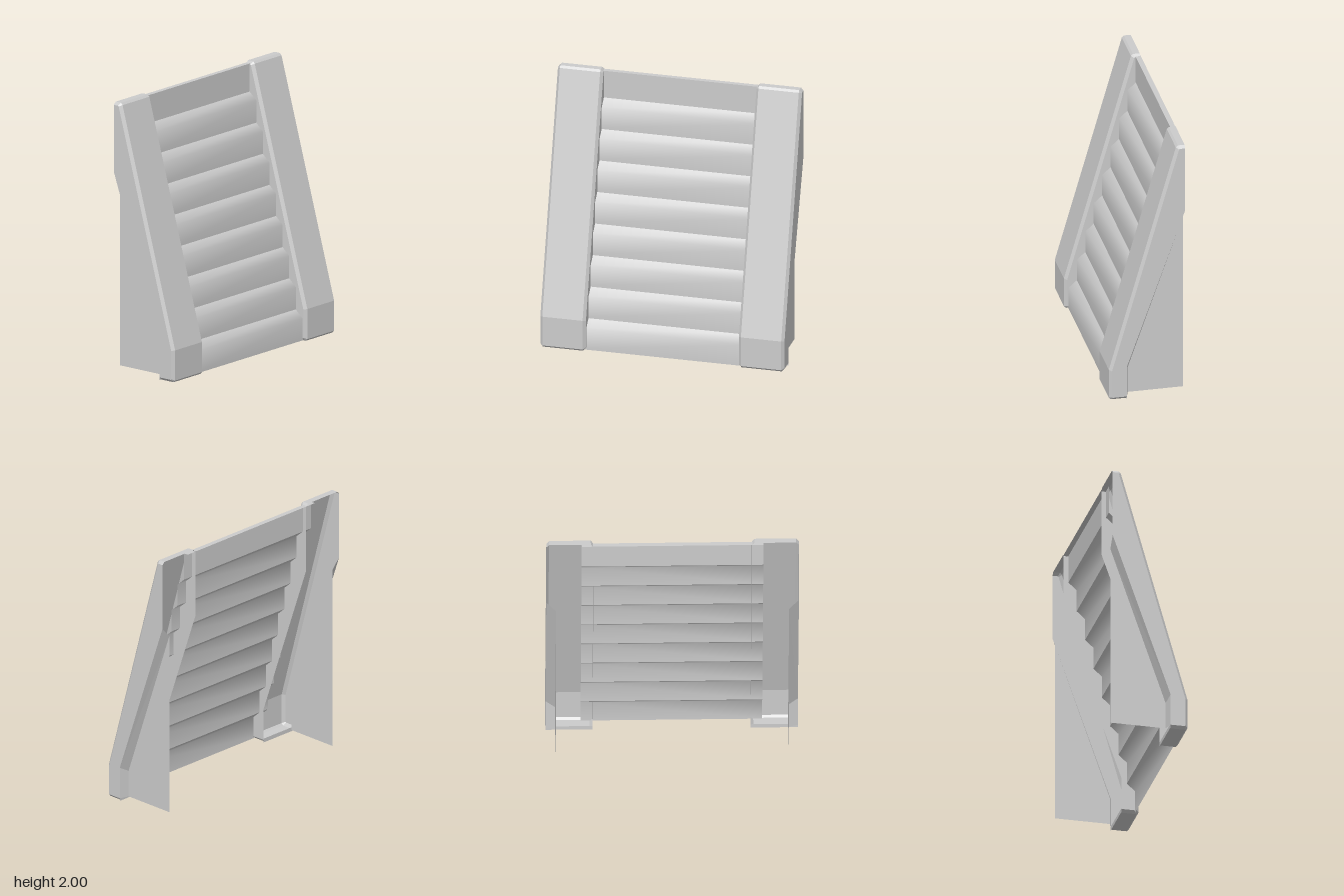
import * as THREE from 'three';
import { mergeGeometries } from 'three/addons/utils/BufferGeometryUtils.js';

const material = new THREE.MeshStandardMaterial({ color: 0xcccccc, side: THREE.DoubleSide });

// Surface through rows of [x, y, z] points, all rows the same length
function loft(rows, smooth = false) {
  const n = rows[0].length;
  const index = [];
  for (let r = 0; r < rows.length - 1; r++) {
    for (let c = 0; c < n - 1; c++) {
      const a = r * n + c, b = a + 1, d = a + n, e = d + 1;
      index.push(a, b, e, a, e, d);
    }
  }
  let geometry = new THREE.BufferGeometry();
  geometry.setAttribute('position', new THREE.Float32BufferAttribute(rows.flat(2), 3));
  geometry.setIndex(index);
  if (!smooth) geometry = geometry.toNonIndexed();
  geometry.computeVertexNormals();
  return geometry;
}

// Flat sheet at a given x from an outline of [z, y] points
function sheet(outline, x) {
  const shape = new THREE.Shape(outline.map(([z, y]) => new THREE.Vector2(z, y)));
  return new THREE.ShapeGeometry(shape).rotateY(-Math.PI / 2).translate(x, 0, 0);
}

function add(group, name, geometry) {
  const mesh = new THREE.Mesh(geometry, material);
  mesh.name = name;
  group.add(mesh);
}

const OUTER = 0.91, INNER = 0.57, PANEL = 0.84, BEVEL = 0.02, BACK = -0.28;

// Side channel: bevelled front skin, two flanges and an inset side panel
function createSide(name) {
  const side = new THREE.Group();
  side.name = name;

  // Front line of the channel and the same line set in by the bevel, as [z, y]
  const front = [[0.15, 0], [0.265, 0], [0.28, 0.015], [0.28, 0.24], [-0.215, 1.985], [-0.23, 2], [BACK, 2]];
  const inset = [[0.15, 0.02], [0.255, 0.02], [0.26, 0.025], [0.26, 0.235], [-0.235, 1.975], [-0.24, 1.98], [BACK, 1.98]];
  add(side, 'channelFace', loft(front.map(([z, y], i) => {
    const [iz, iy] = inset[i];
    return [[INNER, iy, iz], [INNER + BEVEL, y, z], [OUTER - BEVEL, y, z], [OUTER, iy, iz]];
  })));

  // Flanges reach the back near the top and narrow below
  const flange = [...inset, [BACK, 1.48], [0.15, 0.26]];
  add(side, 'outerFlange', sheet(flange, OUTER));
  add(side, 'innerFlange', sheet(flange, INNER));

  // Small lip behind the channel foot
  const lip = new THREE.PlaneGeometry(OUTER - INNER, 0.03);
  add(side, 'footLip', lip.translate((OUTER + INNER) / 2, 0.015, 0.15));

  // Panel stepped inward from the outer flange
  add(side, 'panelStep', loft([
    [[OUTER, 0.02, 0.15], [OUTER, 0.26, 0.15], [OUTER, 1.48, BACK]],
    [[PANEL, 0.02, 0.13], [PANEL, 0.22, 0.13], [PANEL, 1.40, BACK]],
  ]));
  add(side, 'sidePanel', sheet([[0.13, 0.02], [BACK, 0.02], [BACK, 1.40], [0.13, 0.22]], PANEL));
  return side;
}

// Stepped sheet: upright boards with sloping tops, creased where they meet
function createBoards() {
  const count = 9, rise = 0.2215, run = 0.062, half = 0.655;
  const row = (y, z) => [[-half, y, z], [half, y, z]];
  const boards = [];
  for (let i = 0; i < count; i++) {
    const y = 0.004 + i * rise, z = 0.25 - i * run;
    if (i < count - 1) {
      boards.push(loft([row(y, z), row(y + rise - 0.055, z), row(y + rise, z - run)], true));
    } else {
      boards.push(loft([row(y, z), row(1.985, z)], true), loft([row(1.985, z), row(1.985, -0.284)], true));
    }
  }
  return mergeGeometries(boards);
}

export function createModel() {
  const model = new THREE.Group();
  model.name = 'steppedRamp';
  add(model, 'steppedBoards', createBoards());
  model.add(createSide('leftSide'));
  const right = createSide('rightSide');
  right.scale.x = -1;
  model.add(right);
  return model;
}
